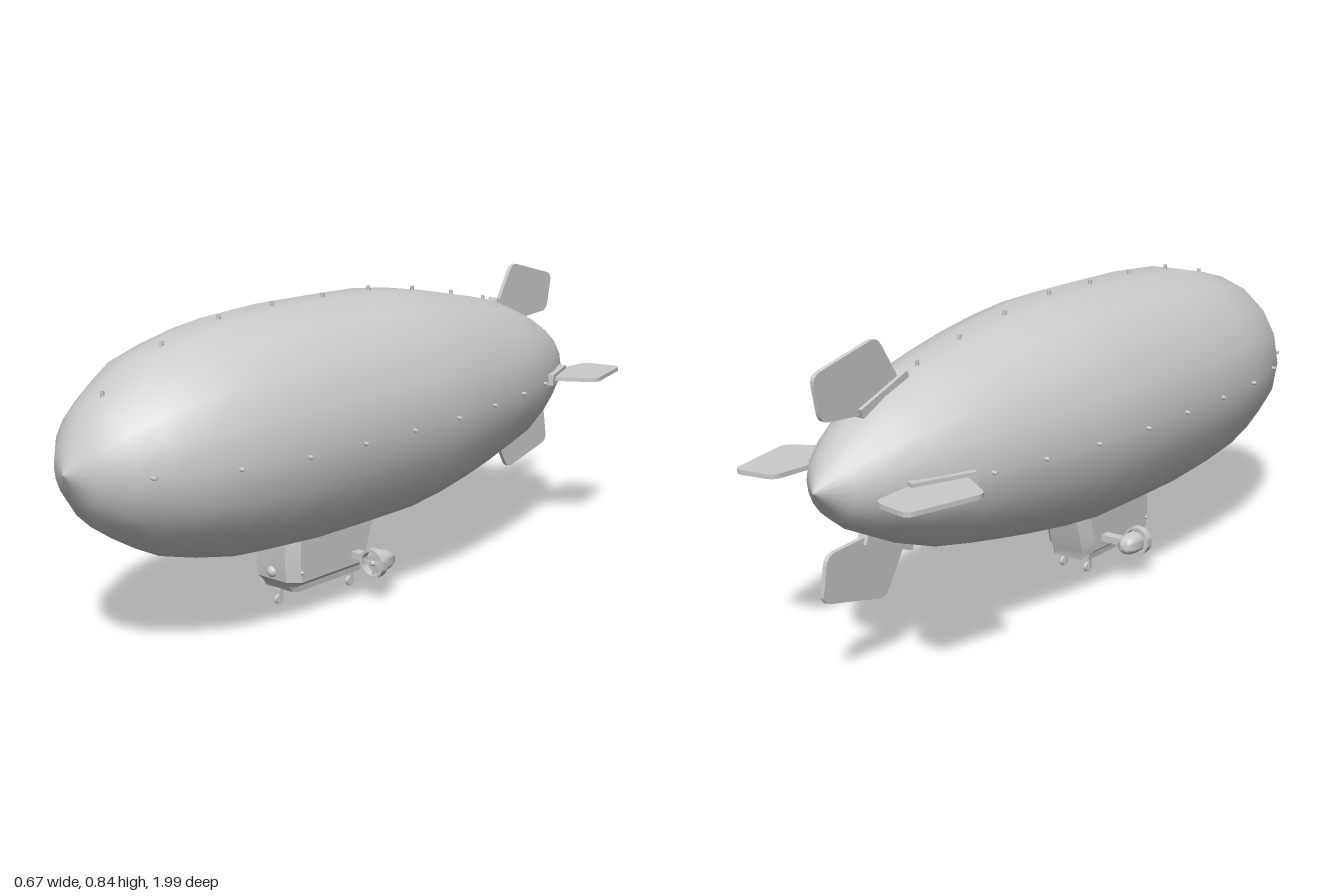
import * as THREE from 'three';
import { toCreasedNormals } from 'three/addons/utils/BufferGeometryUtils.js';

const AXIS_Y = 0.506;
const SIDES = 18;
// Hull profile as [radius, z], tail to nose
const PROFILE = [
  [0, -0.995], [0.08, -0.935], [0.125, -0.877], [0.185, -0.76], [0.234, -0.626], [0.262, -0.5], [0.287, -0.37],
  [0.308, -0.23], [0.322, -0.09], [0.323, 0.1], [0.322, 0.3], [0.309, 0.5], [0.282, 0.63], [0.25, 0.745],
  [0.2, 0.83], [0.152, 0.9], [0.085, 0.955], [0, 0.995],
];

const material = new THREE.MeshStandardMaterial({ color: 0xcccccc });
const doubleSided = new THREE.MeshStandardMaterial({ color: 0xcccccc, side: THREE.DoubleSide });

function part(name, geometry, parent, x = 0, y = 0, z = 0, mat = material) {
  const mesh = new THREE.Mesh(geometry, mat);
  mesh.name = name;
  mesh.position.set(x, y, z);
  parent.add(mesh);
  return mesh;
}

function hullRadius(z) {
  const i = PROFILE.findIndex((p) => p[1] >= z);
  const [r0, z0] = PROFILE[i - 1];
  const [r1, z1] = PROFILE[i];
  return r0 + ((r1 - r0) * (z - z0)) / (z1 - z0);
}

// Closed polygon with rounded corners
function roundedShape(points, radius) {
  const pts = points.map((p) => new THREE.Vector2(...p));
  const toward = (a, b) => b.clone().sub(a).setLength(radius).add(a);
  const shape = new THREE.Shape();
  pts.forEach((p, i) => {
    const a = toward(p, pts[(i + pts.length - 1) % pts.length]);
    const b = toward(p, pts[(i + 1) % pts.length]);
    if (i) shape.lineTo(a.x, a.y);
    else shape.moveTo(a.x, a.y);
    shape.quadraticCurveTo(p.x, p.y, b.x, b.y);
  });
  shape.closePath();
  return shape;
}

// Octagonal sections stacked upwards: [y, halfWidth, zBack, zFront, chamfer]
function loft(sections) {
  const positions = [];
  const index = [];
  for (const [y, w, b, f, c] of sections) {
    const ring = [[w - c, f], [w, f - c], [w, b + c], [w - c, b], [c - w, b], [-w, b + c], [-w, f - c], [c - w, f]];
    for (const [x, z] of ring) positions.push(x, y, z);
  }
  const last = (sections.length - 1) * 8;
  for (let s = 0; s < last; s += 8) {
    for (let i = 0; i < 8; i++) {
      const j = (i + 1) % 8;
      index.push(s + i, s + j, s + 8 + j, s + i, s + 8 + j, s + 8 + i);
    }
  }
  for (let i = 1; i < 7; i++) {
    index.push(0, i + 1, i, last, last + i, last + i + 1);
  }
  const g = new THREE.BufferGeometry();
  g.setAttribute('position', new THREE.Float32BufferAttribute(positions, 3));
  g.setIndex(index);
  return toCreasedNormals(g, 0.6);
}

function addFins(model) {
  const outline = [[-0.695, 0.205], [-0.77, 0.328], [-0.984, 0.275], [-0.963, 0.16], [-0.82, 0.15]];
  const blade = new THREE.ExtrudeGeometry(roundedShape(outline, 0.025), { depth: 0.012, bevelEnabled: false, curveSegments: 4 });
  blade.translate(0, 0, -0.006).rotateY(-Math.PI / 2);
  for (let k = 0; k < 4; k++) {
    const fin = new THREE.Group();
    fin.name = 'tailFin';
    fin.position.y = AXIS_Y;
    fin.rotation.z = (k * Math.PI) / 2;
    part('finBlade', blade, fin);
    part('finBase', new THREE.BoxGeometry(0.032, 0.035, 0.175), fin, 0, 0.182, -0.755).rotation.x = -0.365;
    model.add(fin);
  }
}

// Studs along the top and both flanks
function addStuds(model) {
  const stud = new THREE.CylinderGeometry(0.005, 0.006, 0.024, 8);
  const flat = Math.cos(Math.PI / SIDES);
  for (const z of [0.87, 0.68, 0.487, 0.294, 0.1, -0.09, -0.283, -0.465, -0.626]) {
    const r = hullRadius(z);
    part('topStud', stud, model, 0, AXIS_Y + r * flat, z);
    for (const s of [-1, 1]) part('sideStud', stud, model, s * r, AXIS_Y, z).rotation.z = -s * Math.PI / 2;
  }
}

function addEngine(model, side) {
  const engine = new THREE.Group();
  engine.name = 'engine';
  engine.position.set(side * 0.176, 0.108, 0.09);
  // Open duct ring with a rectangular section
  const ring = new THREE.LatheGeometry(
    [[0.033, -0.011], [0.041, -0.011], [0.041, 0.011], [0.033, 0.011], [0.033, -0.011]].map((p) => new THREE.Vector2(...p)), 28);
  part('ductRing', toCreasedNormals(ring.rotateX(Math.PI / 2), 0.6), engine, 0, 0, 0, doubleSided);
  for (let k = 0; k < 2; k++) {
    part('propellerBlade', new THREE.BoxGeometry(0.07, 0.006, 0.005), engine).rotation.z = (k * Math.PI) / 2;
  }
  part('propellerHub', new THREE.SphereGeometry(0.008, 12, 8), engine, 0, 0, 0.002);
  // Bullet-shaped nacelle, rounded at the rear
  const body = [[0, -0.078], [0.012, -0.075], [0.022, -0.066], [0.028, -0.05], [0.03, -0.032], [0.03, -0.012], [0, -0.009]];
  const nacelle = new THREE.LatheGeometry(body.map((p) => new THREE.Vector2(...p)), 20).rotateX(Math.PI / 2);
  part('nacelle', toCreasedNormals(nacelle, 0.9), engine);
  part('engineArm', new THREE.BoxGeometry(0.095, 0.019, 0.03), engine, -side * 0.065, 0, -0.03);
  model.add(engine);
}

function addWheel(model, x, z) {
  const gear = new THREE.Group();
  gear.name = 'landingWheel';
  gear.position.set(x, 0, z);
  const wheel = new THREE.CylinderGeometry(0.014, 0.014, 0.01, 16).rotateZ(Math.PI / 2);
  part('wheel', wheel, gear, 0, 0.014, 0);
  for (const s of [-1, 1]) part('forkSide', new THREE.BoxGeometry(0.004, 0.03, 0.012), gear, s * 0.008, 0.024, 0);
  part('forkTop', new THREE.BoxGeometry(0.02, 0.014, 0.014), gear, 0, 0.038, 0);
  model.add(gear);
}

export function createModel() {
  const model = new THREE.Group();
  model.name = 'airship';

  // Envelope
  const hull = new THREE.LatheGeometry(PROFILE.map((p) => new THREE.Vector2(...p)), SIDES, Math.PI / 2);
  part('hull', hull.rotateX(Math.PI / 2), model, 0, AXIS_Y, 0);
  addStuds(model);
  addFins(model);

  // Gondola, embedded in the belly
  part('gondola', loft([
    [0.045, 0.061, 0.0, 0.28, 0.012],
    [0.062, 0.063, -0.003, 0.29, 0.015],
    [0.078, 0.083, -0.01, 0.305, 0.03],
    [0.12, 0.083, -0.02, 0.31, 0.03],
    [0.19, 0.083, -0.043, 0.31, 0.03],
    [0.24, 0.083, -0.05, 0.31, 0.03],
  ]), model);
  part('noseLamp', new THREE.SphereGeometry(0.017, 16, 12), model, 0, 0.1, 0.303);
  for (const s of [-1, 1]) {
    part('gondolaStud', new THREE.SphereGeometry(0.006, 8, 6), model, s * 0.082, 0.105, 0.275);
    addEngine(model, s);
    addWheel(model, s * 0.042, 0.035);
  }
  addWheel(model, 0, 0.28);
  return model;
}
